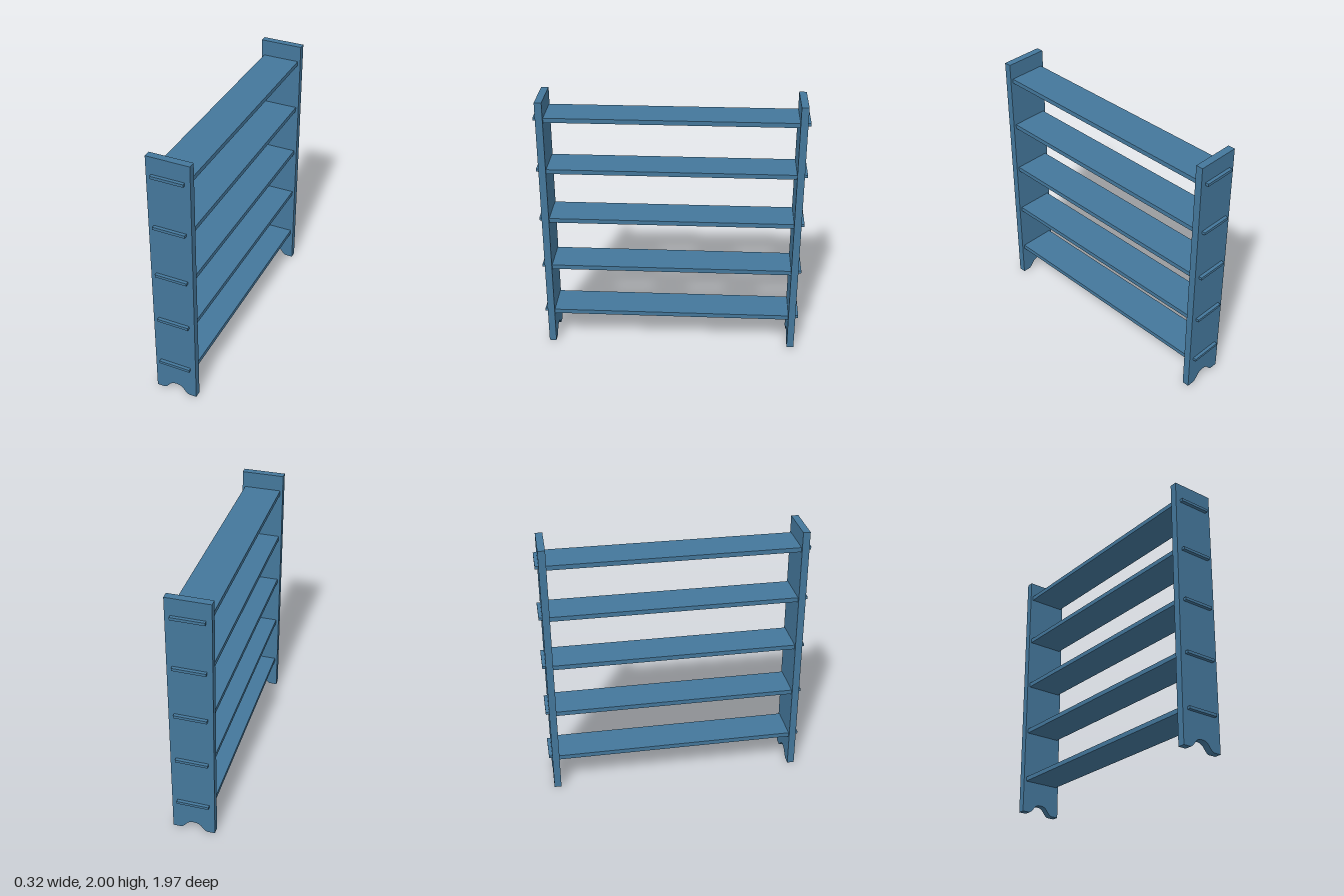
import * as THREE from 'three';

const H = 2, HALF_W = 0.16, Z_IN = 0.907, Z_OUT = 0.96, Z_END = 0.985;

export function createModel() {
  const model = new THREE.Group();
  model.name = 'shelfUnit';
  const paint = new THREE.MeshStandardMaterial({ color: 0x44779b });

  const add = (geometry, name, x, y, z) => {
    const mesh = new THREE.Mesh(geometry, paint);
    mesh.name = name;
    mesh.position.set(x, y, z);
    model.add(mesh);
  };

  // End panel outline with an ogee cut-out between the feet
  const outline = new THREE.Shape();
  outline.moveTo(-HALF_W, 0);
  outline.lineTo(-0.1, 0);
  outline.quadraticCurveTo(-0.085, 0.004, -0.062, 0.035);
  outline.bezierCurveTo(-0.045, 0.06, -0.025, 0.068, 0, 0.068);
  outline.bezierCurveTo(0.025, 0.068, 0.045, 0.06, 0.062, 0.035);
  outline.quadraticCurveTo(0.085, 0.004, 0.1, 0);
  outline.lineTo(HALF_W, 0);
  outline.lineTo(HALF_W, H);
  outline.lineTo(-HALF_W, H);
  outline.closePath();
  const panel = new THREE.ExtrudeGeometry(outline, {
    depth: Z_OUT - Z_IN, bevelEnabled: false, curveSegments: 8,
  });
  add(panel, 'frontPanel', 0, 0, Z_IN);
  add(panel, 'backPanel', 0, 0, -Z_OUT);

  // Shelves, each with a thin tenon projecting through both end panels
  const shelf = new THREE.BoxGeometry(0.28, 0.034, 2 * Z_IN);
  const tenon = new THREE.BoxGeometry(0.24, 0.021, Z_END - Z_IN);
  for (let i = 0; i < 5; i++) {
    const y = 0.26 + i * 0.4;
    add(shelf, `shelf${i + 1}`, 0, y, 0);
    for (const side of [1, -1]) {
      add(tenon, `${side > 0 ? 'front' : 'back'}Tenon${i + 1}`, 0, y, side * (Z_IN + Z_END) / 2);
    }
  }
  return model;
}
